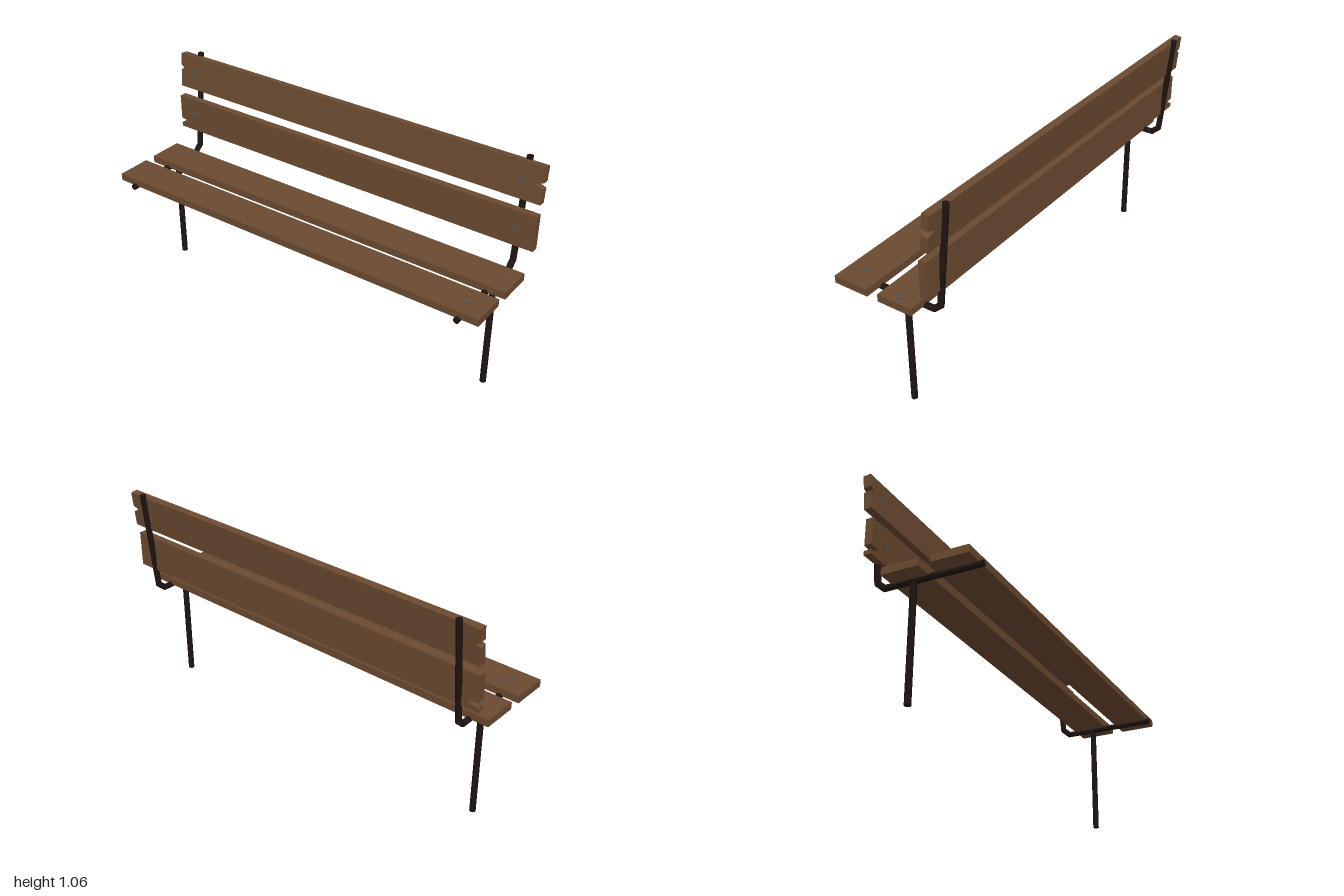
import * as THREE from 'three';

const wood = new THREE.MeshStandardMaterial({ color: 0x6b4a30 });
const iron = new THREE.MeshStandardMaterial({ color: 0x1e1411 });
const steel = new THREE.MeshStandardMaterial({ color: 0x555555 });
const PLANK_W = 0.172, PLANK_T = 0.035, ROD_R = 0.0145, ROD_X = 0.906;

// Rod bent through [y, z] points, with mitred corners
function bentRod(points) {
  const n = points.length - 1;
  const pts = points.map(([y, z]) => new THREE.Vector2(y, z));
  const dirs = pts.slice(1).map((p, i) => p.clone().sub(pts[i]).normalize());
  const geo = new THREE.CylinderGeometry(ROD_R, ROD_R, 1, 10, n);
  const pos = geo.attributes.position;
  for (let i = 0; i < pos.count; i++) {
    const k = Math.round((0.5 - pos.getY(i)) * n);
    const a = dirs[Math.max(k - 1, 0)], b = dirs[Math.min(k, n - 1)];
    const t = a.clone().add(b).normalize();
    const s = pos.getZ(i) / t.dot(a);
    pos.setXYZ(i, pos.getX(i), pts[k].x + t.y * s, pts[k].y - t.x * s);
  }
  geo.computeVertexNormals();
  return geo;
}

// Board facing +z, centred on the origin, with optional splits in its ends
function plankGeometry(leftSplit = [], rightSplit = []) {
  const h = PLANK_W / 2;
  const outline = [[-1, -h], [1, -h], ...rightSplit, [1, h], [-1, h], ...leftSplit];
  const shape = new THREE.Shape(outline.map(([x, y]) => new THREE.Vector2(x, y)));
  return new THREE.ExtrudeGeometry(shape, { depth: PLANK_T, bevelEnabled: false })
    .translate(0, 0, -PLANK_T / 2);
}

// Plank with its bolts; each bolt is [x, y, protrusion]
function plank(name, geo, y, z, tilt, bolts) {
  const g = new THREE.Group();
  g.name = name;
  const board = new THREE.Mesh(geo, wood);
  board.name = name + 'Board';
  g.add(board);
  for (const [x, by, out] of bolts) {
    const bolt = new THREE.Mesh(new THREE.CylinderGeometry(0.013, 0.013, 0.012, 8), steel);
    bolt.name = 'bolt';
    bolt.rotation.x = Math.PI / 2;
    bolt.position.set(x, by, PLANK_T / 2 + out - 0.006);
    g.add(bolt);
  }
  g.position.set(0, y, z);
  g.rotation.x = tilt;
  return g;
}

export function createModel() {
  const model = new THREE.Group();
  model.name = 'bench';

  // Bent supports and legs
  const supportGeo = bentRod([[0.537, 0.277], [0.538, -0.179], [0.569, -0.214], [1.062, -0.263]]);
  const legGeo = new THREE.CylinderGeometry(ROD_R, ROD_R, 0.537, 10).translate(0, 0.2685, 0);
  for (const [side, x] of [['left', ROD_X], ['right', -ROD_X]]) {
    const support = new THREE.Mesh(supportGeo, iron);
    support.name = side + 'Support';
    support.position.x = x;
    const leg = new THREE.Mesh(legGeo, iron);
    leg.name = side + 'Leg';
    leg.position.set(x, 0, -0.041);
    model.add(support, leg);
  }

  // Seat planks; one bolt of the rear plank sits out of line
  const flat = -Math.PI / 2;
  model.add(
    plank('frontSeatPlank', plankGeometry(), 0.558, 0.177, flat,
      [[-ROD_X, -0.001, 0.004], [ROD_X, -0.003, 0.004]]),
    plank('rearSeatPlank', plankGeometry(), 0.558, -0.051, flat,
      [[-ROD_X, 0.004, 0.004], [0.97, 0.002, 0.006]]),
  );

  // Backrest planks with split ends
  const lowerSplit = [[-1, -0.04], [-0.945, -0.047], [-0.985, -0.064], [-1, -0.066]];
  const upperLeft = [[-1, 0.024], [-0.98, 0.012], [-1, 0]];
  const upperRight = [[1, -0.015], [0.957, 0.001], [1, 0.015]];
  model.add(
    plank('lowerBackPlank', plankGeometry(lowerSplit), 0.742, -0.209, 0,
      [[-0.91, 0.004, 0.006], [ROD_X, 0, 0.006]]),
    plank('upperBackPlank', plankGeometry(upperLeft, upperRight), 0.964, -0.231, -0.095,
      [[-0.912, 0.002, 0.004], [ROD_X, 0, 0.004]]),
  );
  return model;
}
